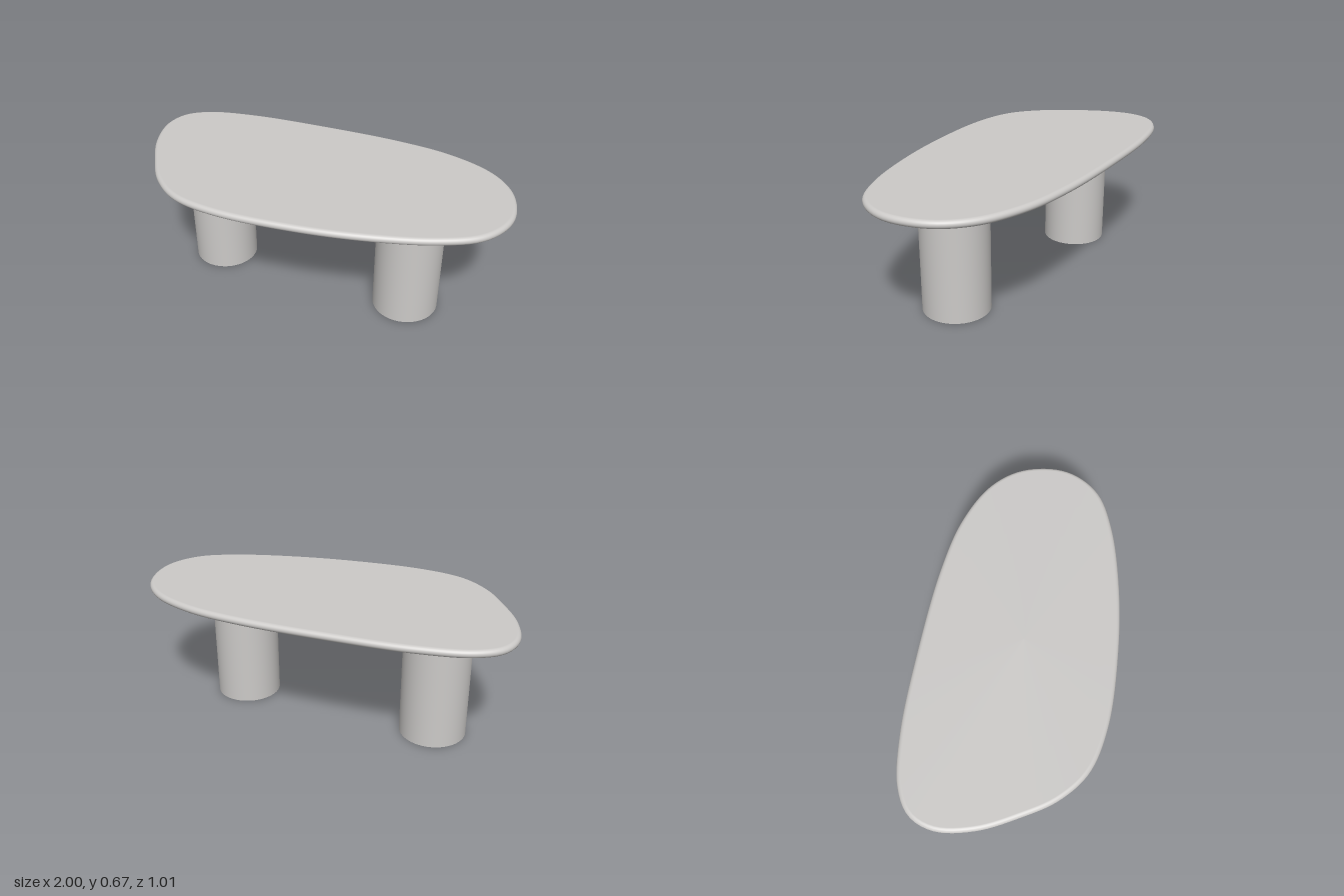
import * as THREE from 'three';

// Table top outline as x, z pairs, clockwise seen from above
const OUTLINE = [
  [-1.0, -0.155], [-0.965, -0.285], [-0.85, -0.375], [-0.6, -0.443], [-0.2, -0.487],
  [0.26, -0.509], [0.56, -0.485], [0.8, -0.4], [0.935, -0.27], [0.995, -0.09],
  [0.98, 0.04], [0.9, 0.17], [0.72, 0.28], [0.42, 0.385], [0.08, 0.46],
  [-0.32, 0.5], [-0.56, 0.465], [-0.72, 0.36], [-0.84, 0.21], [-0.95, 0.03],
];
const TOP_Y = 0.673, THICKNESS = 0.04, ROUND = 0.022;

// Slab whose edge follows a rounded section swept around the outline
function slabGeometry() {
  const curve = new THREE.CatmullRomCurve3(
    OUTLINE.map(([x, z]) => new THREE.Vector3(x, 0, z)), true, 'centripetal');
  const n = 160, steps = 12, rows = steps + 3;
  const pos = [], index = [];
  for (let j = 0; j < rows; j++) {
    const centre = j === 0 || j === rows - 1;
    const a = Math.PI * (0.5 - THREE.MathUtils.clamp((j - 1) / steps, 0, 1));
    const y = TOP_Y - THICKNESS / 2 + Math.sin(a) * THICKNESS / 2;
    const inset = ROUND * (1 - Math.cos(a));
    for (let i = 0; i < n; i++) {
      const p = curve.getPointAt(i / n), t = curve.getTangentAt(i / n);
      if (centre) pos.push(0, y, 0);
      else pos.push(p.x - t.z * inset, y, p.z + t.x * inset);
      if (j === rows - 1) continue;
      const k = (i + 1) % n, r = j * n, s = r + n;
      if (j > 0) index.push(r + i, r + k, s + i);
      if (j < rows - 2) index.push(r + k, s + k, s + i);
    }
  }
  const g = new THREE.BufferGeometry();
  g.setAttribute('position', new THREE.Float32BufferAttribute(pos, 3));
  g.setIndex(index);
  g.computeVertexNormals();
  return g;
}

export function createModel() {
  const model = new THREE.Group();
  model.name = 'coffeeTable';
  const stone = new THREE.MeshStandardMaterial({ color: 0xcccac8 });
  stone.name = 'warm light grey';

  const top = new THREE.Mesh(slabGeometry(), stone);
  top.name = 'tableTop';
  model.add(top);

  // Two thick round legs
  const legHeight = TOP_Y - THICKNESS + 0.001;
  const legGeometry = new THREE.CylinderGeometry(0.172, 0.172, legHeight, 64);
  for (const [name, x] of [['rightLeg', -0.585], ['leftLeg', 0.509]]) {
    const leg = new THREE.Mesh(legGeometry, stone);
    leg.name = name;
    leg.position.set(x, legHeight / 2, -0.02);
    model.add(leg);
  }
  return model;
}
